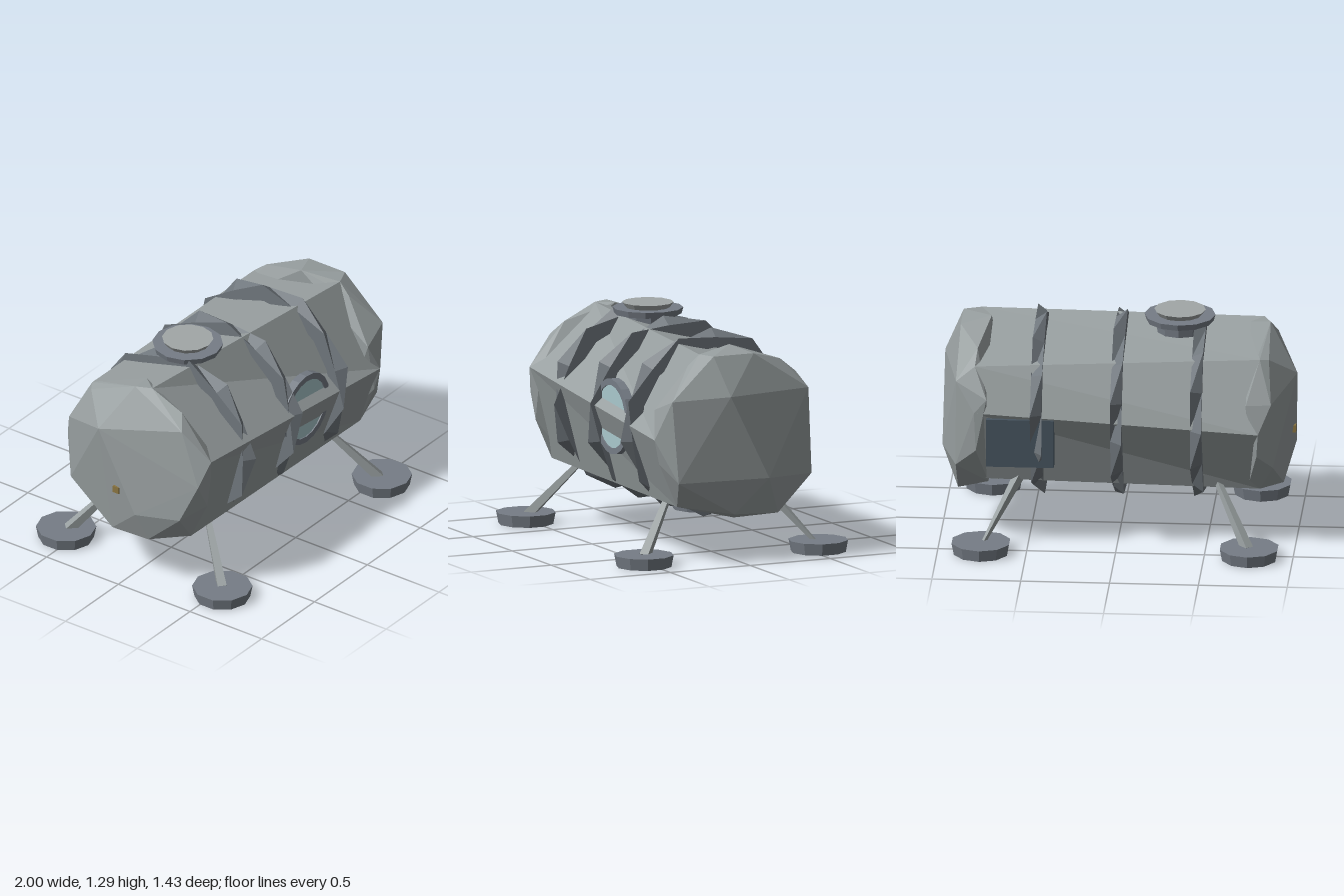
import * as THREE from 'three';
import { ConvexGeometry } from 'three/addons/geometries/ConvexGeometry.js';

const paint = (color) => new THREE.MeshStandardMaterial({ color, flatShading: true });
const hull = paint(0x989fa0);
const slate = paint(0x767d86);
const hoopGrey = paint(0x70777d);
const navy = paint(0x46545f);
const glass = paint(0xaac8cd);
const gold = paint(0x8a7440);
const lidGrey = paint(0xa2a7a7);
const CY = 0.73; // height of the tank axis

export function createModel() {
  const model = new THREE.Group();

  function add(name, geometry, material, x = 0, y = 0, z = 0) {
    const mesh = new THREE.Mesh(geometry, material);
    mesh.name = name;
    mesh.position.set(x, y, z);
    model.add(mesh);
    return mesh;
  }

  // Tank: slightly twisted seven-sided loft between two [z, y] sections
  const rightEnd = [[0.5, 0.88], [0.36, 0.35], [0.05, 0.24], [-0.3, 0.33], [-0.5, 0.72], [-0.33, 1.11], [0.09, 1.22]];
  const leftEnd = [[0.5, 0.72], [0.36, 0.33], [0.02, 0.25], [-0.31, 0.36], [-0.465, 0.8], [-0.38, 1.05], [0.22, 1.19]];
  const positions = [];
  rightEnd.forEach((_, i) => {
    const j = (i + 1) % rightEnd.length;
    const [a, b] = [rightEnd[i], rightEnd[j]].map(([z, y]) => [-0.8, y, z]);
    const [d, c] = [leftEnd[i], leftEnd[j]].map(([z, y]) => [0.8, y, z]);
    positions.push(...a, ...b, ...c, ...a, ...c, ...d);
  });
  const tank = new THREE.BufferGeometry();
  tank.setAttribute('position', new THREE.Float32BufferAttribute(positions, 3));
  tank.computeVertexNormals();
  add('tank', tank, hull);

  // End caps: faceted domes, convex hulls of the tank end, a jagged collar and the [x, y, z] dome corners
  function endCap(name, side, section, dome) {
    const points = dome.map((p) => new THREE.Vector3(...p));
    section.forEach(([z, y]) => points.push(new THREE.Vector3(side * 0.8, y, z)));
    for (let i = 0; i < 10; i++) {
      const a = ((i + 0.5) / 10) * Math.PI * 2;
      points.push(new THREE.Vector3(side * (i % 2 ? 0.79 : 0.73), CY + 0.49 * Math.sin(a), 0.49 * Math.cos(a)));
    }
    add(name, new ConvexGeometry(points), hull);
  }
  endCap('leftEndCap', 1, leftEnd, [
    [0.905, 0.95, 0.44], [0.9, 1.19, 0.18], [0.9, 1.19, -0.07], [0.905, 0.97, -0.41], [0.905, 0.48, -0.43],
    [0.905, 0.27, -0.22], [0.905, 0.28, 0.05], [0.905, 0.48, 0.4], [1, 0.97, 0.12], [1, 0.49, -0.12]]);
  endCap('rightEndCap', -1, rightEnd, [
    [-0.84, 1.22, 0], [-0.85, 1.1, -0.3], [-0.87, 0.88, -0.44], [-0.88, 0.5, -0.42], [-0.92, 0.3, -0.1],
    [-0.92, 0.31, 0.15], [-0.91, 0.5, 0.36], [-0.87, 0.73, 0.46], [-0.86, 1.05, 0.34],
    [-1, 0.97, -0.14], [-0.98, 0.48, 0.1]]);

  // Hoops: flat bands whose two edges rise and dip in turn around the tank
  const band = [[0.43, -0.032], [0.505, -0.032], [0.505, 0.032], [0.43, 0.032]].map(([r, h]) => new THREE.Vector2(r, h));
  [-0.45, 0, 0.45].forEach((x, i) => {
    const geometry = new THREE.LatheGeometry(band, 14);
    const p = geometry.attributes.position;
    for (let v = 0; v < p.count; v++) {
      const edge = v % 4;
      if (edge === 0 || edge === 3) continue;
      const s = (Math.floor(v / 4) + edge) % 2 ? 1.055 : 0.965;
      p.setXYZ(v, p.getX(v) * s, p.getY(v), p.getZ(v) * s);
    }
    const hoop = add('hoop', geometry, hoopGrey, x, CY, 0);
    hoop.rotation.z = Math.PI / 2;
    hoop.rotateY(i * 0.15);
  });

  // Front porthole: the tank ridge crosses its pane
  const frame = new THREE.Shape().absarc(0, 0, 0.215, 0, Math.PI * 2);
  frame.holes.push(new THREE.Path().absarc(0, 0, 0.18, 0, Math.PI * 2, true));
  add('portholeFrame', new THREE.ExtrudeGeometry(frame, { depth: 0.05, bevelEnabled: false, curveSegments: 10 }),
    slate, 0.16, 0.75, 0.409);
  const pane = add('portholePane', new THREE.CylinderGeometry(0.185, 0.185, 0.04, 12), glass, 0.16, 0.75, 0.432);
  pane.rotation.x = Math.PI / 2;

  // Roof hatch
  add('hatchNeck', new THREE.CylinderGeometry(0.14, 0.13, 0.08, 10), slate, -0.33, 1.2, -0.01);
  add('hatchFlange', new THREE.CylinderGeometry(0.2, 0.19, 0.035, 12), slate, -0.33, 1.242, -0.01);
  add('hatchLid', new THREE.CylinderGeometry(0.145, 0.125, 0.03, 12), lidGrey, -0.33, 1.274, -0.01);

  // Rear equipment panel and small fittings
  add('rearPanel', new THREE.BoxGeometry(0.38, 0.28, 0.055), navy, 0.54, 0.63, -0.453);
  add('panelFitting', new THREE.BoxGeometry(0.04, 0.02, 0.02), gold, 0.4, 0.775, -0.455);
  add('endFitting', new THREE.BoxGeometry(0.04, 0.04, 0.04), gold, -0.965, 0.6, -0.03);

  // Splayed legs with round foot pads
  const up = new THREE.Vector3(0, 1, 0);
  for (const sx of [1, -1]) {
    for (const sz of [1, -1]) {
      const foot = new THREE.Vector3(sx * 0.745, 0.05, sz * 0.535);
      const hip = new THREE.Vector3(sx * 0.53, 0.42, sz * 0.25);
      const span = hip.clone().sub(foot);
      const mid = foot.clone().add(hip).multiplyScalar(0.5);
      const [top, bottom] = sx > 0 && sz < 0 ? [0.036, 0.012] : [0.018, 0.036];
      const leg = add('leg', new THREE.CylinderGeometry(top, bottom, span.length(), 4), hull, mid.x, mid.y, mid.z);
      leg.quaternion.setFromUnitVectors(up, span.normalize());
      add('footPad', new THREE.CylinderGeometry(0.17, 0.157, 0.067, 10), slate, sx * 0.755, 0.0335, sz * 0.545);
    }
  }
  return model;
}
